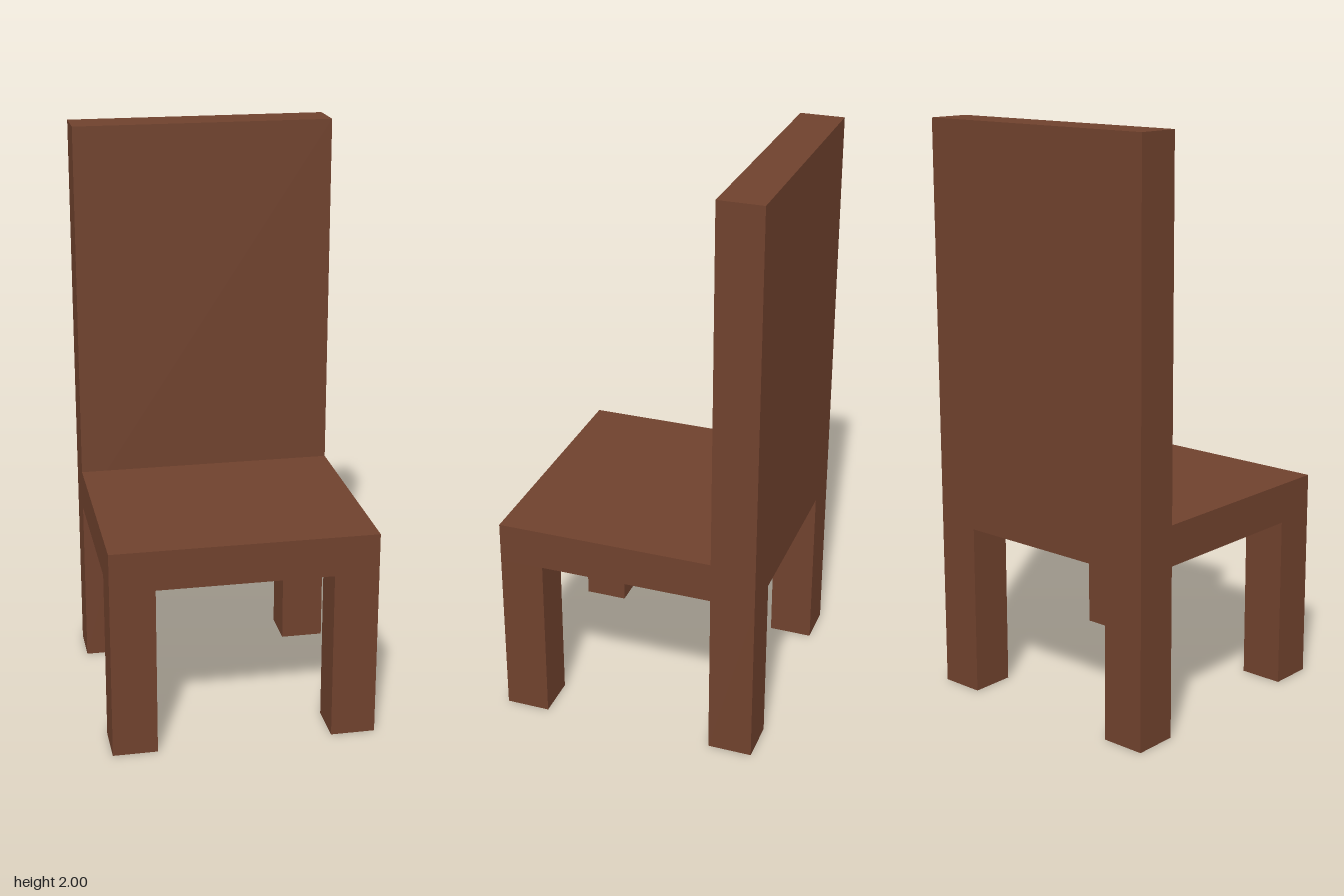
import * as THREE from 'three';

export function createModel() {
  const chair = new THREE.Group();
  chair.name = 'chair';
  const wood = new THREE.MeshStandardMaterial({ color: 0x6f412d });
  wood.name = 'brownWood';

  const half = 0.457;    // half of the chair's width and depth
  const inner = 0.303;   // inner edge of the legs and face of the backrest
  const legTop = 0.6;
  const seatTop = 0.74;
  const height = 2;

  // Box given by its lowest and highest corners
  function addBox(name, [x0, y0, z0], [x1, y1, z1]) {
    const mesh = new THREE.Mesh(new THREE.BoxGeometry(x1 - x0, y1 - y0, z1 - z0), wood);
    mesh.position.set((x0 + x1) / 2, (y0 + y1) / 2, (z0 + z1) / 2);
    mesh.name = name;
    chair.add(mesh);
  }

  // Seat slab in front of the backrest
  addBox('seat', [-half, legTop, -inner], [half, seatTop, half]);

  // Tall solid backrest, flush with the rear legs
  addBox('backrest', [-half, legTop, -half], [half, height, -inner]);

  // Four square legs at the corners
  for (const [side, x0, x1] of [['Left', inner, half], ['Right', -half, -inner]]) {
    addBox(`front${side}Leg`, [x0, 0, inner], [x1, legTop, half]);
    addBox(`back${side}Leg`, [x0, 0, -half], [x1, legTop, -inner]);
  }

  return chair;
}
